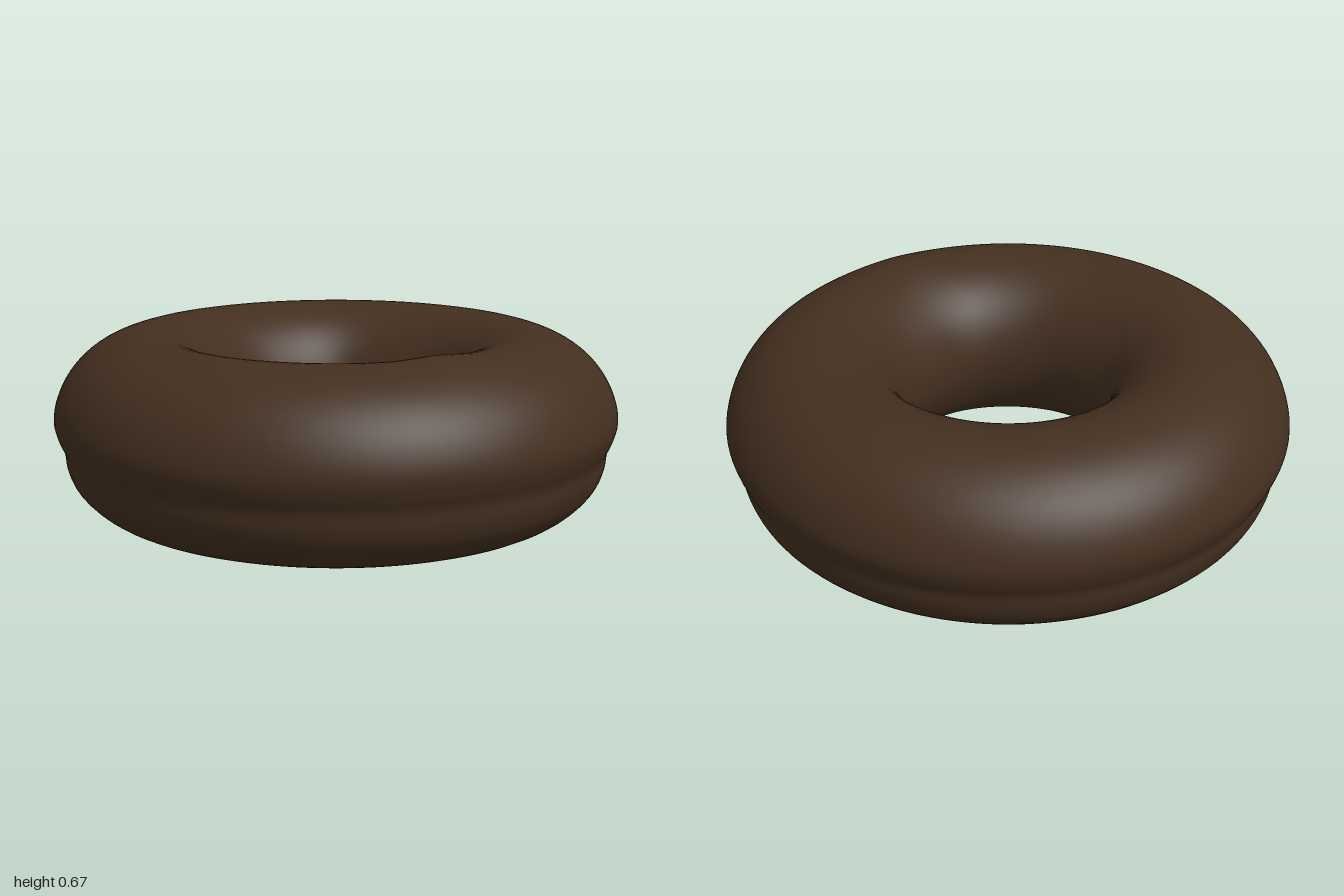
import * as THREE from 'three';
import { mergeVertices } from 'three/addons/utils/BufferGeometryUtils.js';

// Cross-section of the ring as [radius, height], from the underside outwards and up
const SECTION = [
  [0.66, 0.01], [0.74, 0.02], [0.85, 0.06], [0.93, 0.135], [0.958, 0.2], [0.966, 0.26],
  [0.985, 0.305], [0.998, 0.36], [0.985, 0.43], [0.945, 0.51], [0.88, 0.58], [0.79, 0.632],
  [0.68, 0.656], [0.57, 0.635], [0.47, 0.575], [0.395, 0.48], [0.357, 0.36],
  [0.365, 0.25], [0.41, 0.145], [0.48, 0.065], [0.57, 0.022],
];

// Soft local swellings in the dough: x, z, side, height, spread
const BUMPS = [
  { x: -0.2, z: 0.65, top: true, h: 0.012, s: 0.12 },
  { x: 0.67, z: -0.07, top: false, h: -0.01, s: 0.1 },
];

function shapeDough(geometry) {
  const pos = geometry.attributes.position;
  for (let i = 0; i < pos.count; i++) {
    let x = pos.getX(i), y = pos.getY(i), z = pos.getZ(i);
    const r = Math.hypot(x, z), a = Math.atan2(z, x);
    // uneven hole, fading out towards the crown
    const inner = THREE.MathUtils.clamp((0.62 - r) / 0.26, 0, 1);
    const wobble = inner * inner * (0.007 * Math.cos(a) - 0.009 * Math.cos(4 * a) + 0.004 * Math.sin(7 * a));
    x *= 1 + wobble / r;
    z *= 1 + wobble / r;
    for (const b of BUMPS) {
      if ((y > 0.33) === b.top) {
        const d2 = (x - b.x) ** 2 + (z - b.z) ** 2;
        y += b.h * Math.exp(-d2 / (b.s * b.s)) * Math.min(1, Math.abs(y - 0.33) / 0.3);
      }
    }
    pos.setXYZ(i, x, y, z);
  }
}

export function createModel() {
  const group = new THREE.Group();
  group.name = 'doughnut';

  // Closed smooth section swept round the vertical axis
  const curve = new THREE.CatmullRomCurve3(SECTION.map(([r, y]) => new THREE.Vector3(r, y, 0)), true);
  const points = curve.getPoints(84).map((p) => new THREE.Vector2(p.x, p.y));
  let geometry = new THREE.LatheGeometry(points, 128);

  // Weld the seams so that the normals stay smooth all round
  geometry.deleteAttribute('normal');
  geometry.deleteAttribute('uv');
  geometry = mergeVertices(geometry, 1e-4);
  shapeDough(geometry);
  geometry.computeVertexNormals();

  const ring = new THREE.Mesh(geometry, new THREE.MeshStandardMaterial({ color: 0x432f1f }));
  ring.name = 'doughRing';
  group.add(ring);
  return group;
}
